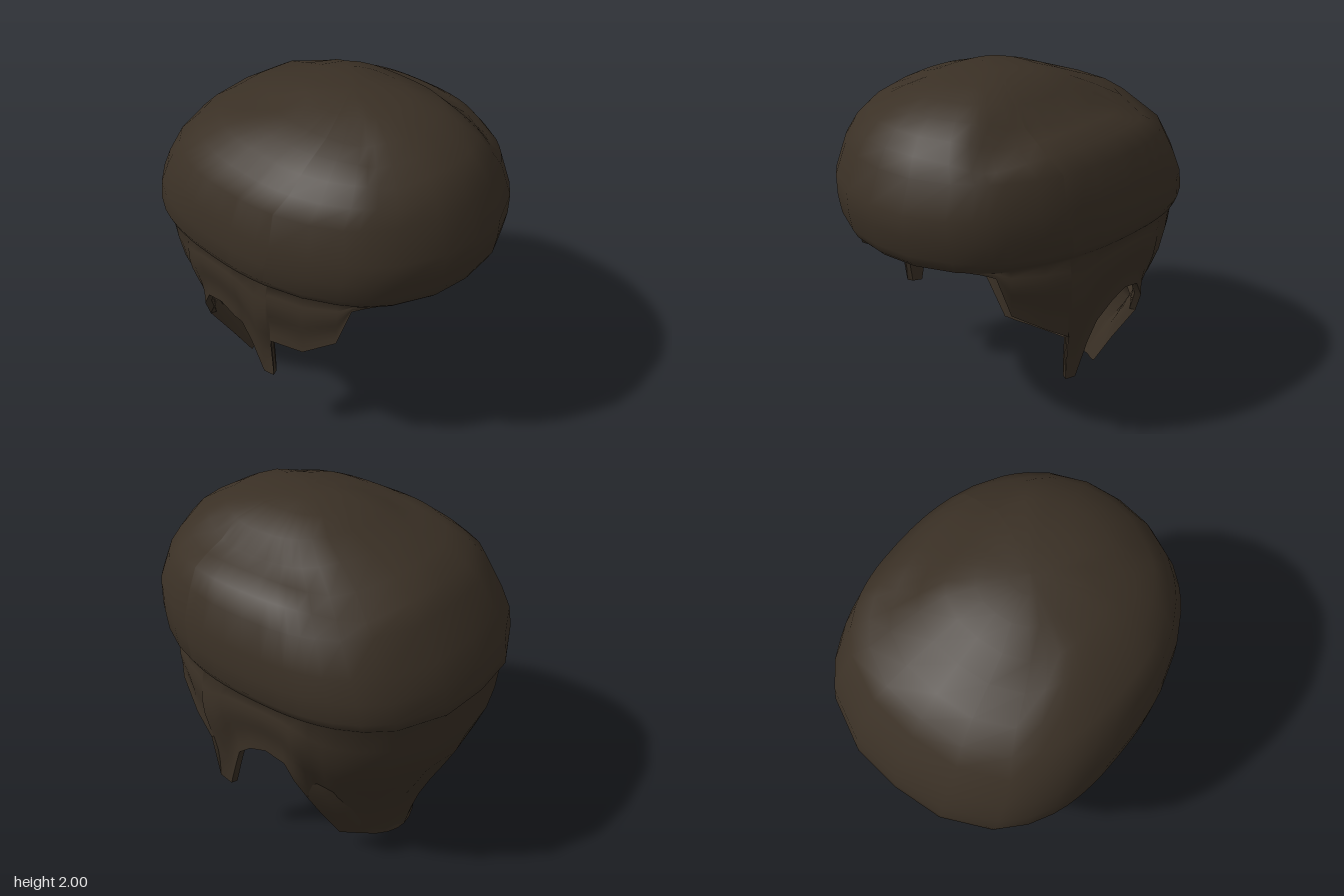
import * as THREE from 'three';

// Dome levels from crown down: height, front z, back z, half width
const LEVELS = [
  [2.0, 0.14, 0.14, 0], [1.998, 0.26, 0.03, 0.1], [1.98, 0.44, -0.12, 0.24], [1.935, 0.6, -0.26, 0.39],
  [1.88, 0.7, -0.41, 0.49], [1.82, 0.8, -0.58, 0.59], [1.74, 0.87, -0.71, 0.68],
  [1.65, 0.92, -0.79, 0.76], [1.48, 0.99, -0.9, 0.805], [1.36, 0.985, -0.96, 0.822],
  [1.25, 0.965, -0.98, 0.822], [1.2, 0.94, -0.985, 0.795], [1.17, 0.91, -0.96, 0.767],
];

// Lower hairline on the left side, from the fringe round to the nape
const HEM = [
  [0, 1.17, 0.9], [0.2, 1.175, 0.87], [0.4, 1.17, 0.78], [0.5, 1.16, 0.71],          // fringe
  [0.55, 1.14, 0.66], [0.6, 0.92, 0.6], [0.68, 0.8, 0.43], [0.72, 0.71, 0.29],       // temple
  [0.69, 0.42, 0.27], [0.69, 0.4, 0.19], [0.71, 0.6, 0.12], [0.73, 0.72, 0.07],      // sideburn
  [0.75, 0.81, -0.03], [0.75, 0.85, -0.14], [0.74, 0.82, -0.26], [0.73, 0.72, -0.32], // ear notch
  [0.67, 0.58, -0.36], [0.53, 0.35, -0.34], [0.45, 0.22, -0.35], [0.38, 0.1, -0.36], // nape edge
  [0.32, 0.075, -0.4], [0.26, 0.05, -0.45], [0.14, 0.015, -0.52], [0, 0, -0.56],
];
const FLAP_END = 16; // last hairline point of the side flap
const CZ = -0.1;     // z of the vertical axis of the head

// Underside rows from fringe to nape: centre y z, edge x y z, outer x y z
const UNDERSIDE = [
  [1.17, 0.84, 0.24, 1.17, 0.8, 0.5, 1.16, 0.69],
  [1.13, 0.35, 0.33, 1.12, 0.33, 0.71, 1.02, 0.3],
  [1.0, -0.1, 0.47, 0.98, -0.1, 0.72, 0.95, -0.05],
  [0.8, -0.5, 0.62, 0.8, -0.28, 0.71, 0.84, -0.2],
  [0.58, -0.58, 0.6, 0.58, -0.42, 0.67, 0.58, -0.36],
  [0.34, -0.56, 0.47, 0.34, -0.42, 0.53, 0.35, -0.34],
  [0.1, -0.54, 0.31, 0.11, -0.43, 0.38, 0.1, -0.36],
  [0, -0.56, 0.26, 0.05, -0.45, 0.38, 0.1, -0.36],
];

// The right sideburn is a little shorter and further back
function mirrorHem([x, y, z]) {
  const burn = z > 0 && z < 0.3 && y < 0.75;
  return burn ? [-x, y + 0.06, z - 0.07] : [-x, y, z];
}

// Horizontal direction of each column; the back of the head is squarer
function direction([x, , z]) {
  const a = Math.atan2(x / 0.765, (z - CZ) / (z > CZ ? 1 : 0.85));
  const s = Math.sin(a), k = Math.cos(a);
  const power = k > 0 ? 2.2 : 2.6;
  const r = (Math.abs(s) ** power + Math.abs(k) ** power) ** (-1 / power);
  return [s * r, k * r];
}

// Parting on the right and a step between locks on the left
function dip(x) {
  return 0.022 * Math.exp(-(((x + 0.31) / 0.07) ** 2)) + 0.055 * Math.exp(-(((x - 0.49) / 0.11) ** 2));
}

function domeRing([y, front, back, w], dirs) {
  const c = (front + back) / 2 - (y < 1.7 ? 0.06 : 0);
  return dirs.map(([s, k]) => {
    const x = s * w;
    return [x, y - (y > 1.7 ? dip(x) : 0), c + k * (k > 0 ? front - c : c - back)];
  });
}

// Strands run from the dome's edge to the hairline with a slight swell
function skirtRing(top, hem, dirs, t) {
  return top.map((p, i) => {
    const q = hem[i];
    const len = p[1] - q[1];
    const swell = len * 0.03 * (Math.sin(Math.PI * t) + Math.sin(2 * Math.PI * t));
    return [
      p[0] + (q[0] - p[0]) * t + dirs[i][0] * swell,
      p[1] + (q[1] - p[1]) * t,
      p[2] + (q[2] - p[2]) * t + dirs[i][1] * swell,
    ];
  });
}

// One row across the underside, curved between its two edges
function undersideRow([y, z, ex, ey, ez, ox, oy, oz]) {
  const row = [[-ox, oy, oz]];
  for (let i = -4; i <= 4; i++) {
    const u = i / 4;
    row.push([ex * u, y + (ey - y) * u * u, z + (ez - z) * u * u]);
  }
  row.push([ox, oy, oz]);
  return row;
}

// Rows of points, ordered downwards, joined into one smooth surface
function loft(name, rows, material, closed) {
  const n = rows[0].length;
  const index = [];
  for (let r = 0; r < rows.length - 1; r++) {
    for (let i = 0; i < (closed ? n : n - 1); i++) {
      const a = r * n + i, b = r * n + ((i + 1) % n);
      index.push(a, a + n, b, b, a + n, b + n);
    }
  }
  const geometry = new THREE.BufferGeometry();
  geometry.setAttribute('position', new THREE.Float32BufferAttribute(rows.flat(2), 3));
  geometry.setIndex(index);
  geometry.computeVertexNormals();
  const mesh = new THREE.Mesh(geometry, material);
  mesh.name = name;
  return mesh;
}

export function createModel() {
  const hair = new THREE.MeshStandardMaterial({ color: 0x3a3025, side: THREE.DoubleSide });
  hair.name = 'dark brown hair';

  const hem = [...HEM, ...HEM.slice(1, -1).reverse().map(mirrorHem)];
  const dirs = hem.map(direction);

  // Outer shell: dome, rolled edge, then the hanging strands
  const dome = LEVELS.map((level) => domeRing(level, dirs));
  const edge = dome[dome.length - 1];
  const skirt = [];
  for (let j = 1; j <= 8; j++) skirt.push(skirtRing(edge, hem, dirs, j / 8));

  // Lining of fringe and side flaps, set in by the thickness of the hair
  const flap = (ring) => [...ring.slice(-FLAP_END), ...ring.slice(0, FLAP_END + 1)];
  const inset = ([x, y, z]) => [x * 0.95, y, CZ + (z - CZ) * 0.95];
  const lining = [edge, ...skirt].map((ring) => flap(ring).map(inset));

  const group = new THREE.Group();
  group.name = 'hairstyle';
  group.add(
    loft('outerHair', [...dome, ...skirt], hair, true),
    loft('hairlineRim', [flap(hem), lining[lining.length - 1]], hair, false),
    loft('flapLining', lining.reverse(), hair, false),
    loft('underside', UNDERSIDE.map(undersideRow), hair, false),
  );
  return group;
}
